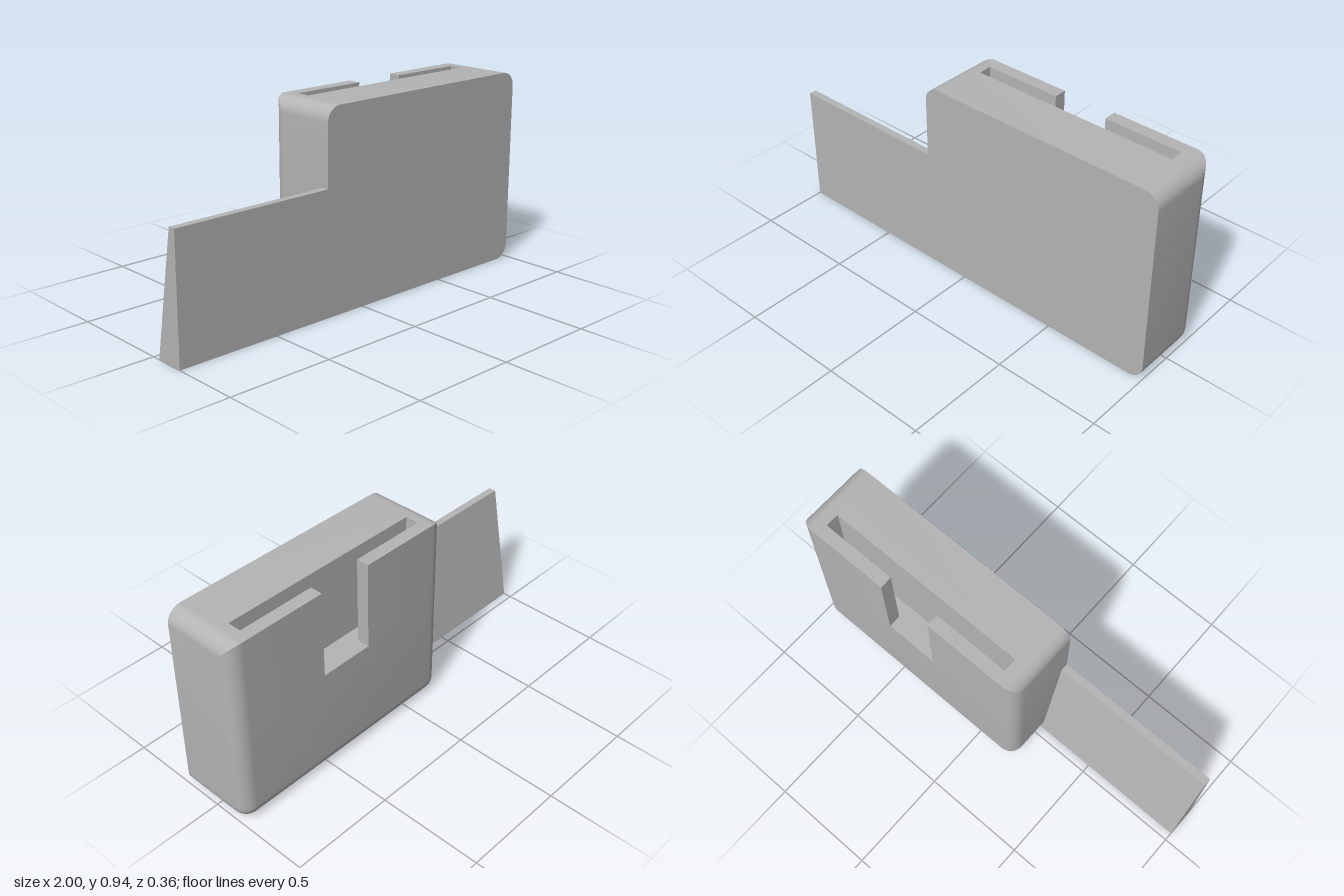
import * as THREE from 'three';
import { toCreasedNormals } from 'three/addons/utils/BufferGeometryUtils.js';

const CX = 0.395, W = 0.605, H = 0.94;   // body centre, half width, height
const FRONT = 0.18, BACK = -0.18, R = 0.07, STEPS = 10;
const SLOT_FLOOR = 0.52;

// T-shaped slot outline (x, z), open through the back wall
const slot = [
  [0.52, BACK], [0.52, -0.12], [0.89, -0.12], [0.89, -0.055],
  [-0.11, -0.055], [-0.11, -0.12], [0.26, -0.12], [0.26, BACK],
].map(([x, z]) => new THREE.Vector2(x, z));

// Horizontal section: inset rounds the bottom, clip rounds the top corners
function section(inset, clip, withSlot) {
  const r = R - inset, pts = [];
  const add = (x, z) => pts.push(new THREE.Vector2(CX + THREE.MathUtils.clamp(x, clip - W, W - clip), z));
  add(W - inset, FRONT);
  for (let i = 0; i <= STEPS; i++) {
    const a = (i / STEPS) * Math.PI / 2;
    add(W - R + r * Math.cos(a), BACK + R - r * Math.sin(a));
  }
  if (withSlot) pts.push(...slot);
  for (let i = STEPS; i >= 0; i--) {
    const a = (i / STEPS) * Math.PI / 2;
    add(-W + R - r * Math.cos(a), BACK + R - r * Math.sin(a));
  }
  add(-W + inset, FRONT);
  return pts;
}

function bodyGeometry() {
  const pos = [];
  const put = (p, y) => pos.push(p.x, y, p.y);

  const loft = rings => {
    for (let k = 0; k + 1 < rings.length; k++) {
      const lo = rings[k], hi = rings[k + 1], n = lo.pts.length;
      for (let i = 0; i < n; i++) {
        const j = (i + 1) % n;
        put(lo.pts[i], lo.y); put(lo.pts[j], lo.y); put(hi.pts[j], hi.y);
        put(lo.pts[i], lo.y); put(hi.pts[j], hi.y); put(hi.pts[i], hi.y);
      }
    }
  };

  const cap = (pts, y, up) => {
    for (const [a, b, c] of THREE.ShapeUtils.triangulateShape(pts.slice(), [])) {
      const A = pts[a], B = pts[b], C = pts[c];
      const ny = (B.y - A.y) * (C.x - A.x) - (B.x - A.x) * (C.y - A.y);
      const tri = (ny > 0) === up ? [A, B, C] : [A, C, B];
      tri.forEach(p => put(p, y));
    }
  };

  // Solid lower half with rounded bottom
  const lower = [], upper = [];
  for (let i = 0; i <= STEPS; i++) {
    const a = (i / STEPS) * Math.PI / 2;
    lower.push({ y: R * (1 - Math.cos(a)), pts: section(R * (1 - Math.sin(a)), 0, false) });
  }
  lower.push({ y: SLOT_FLOOR, pts: section(0, 0, false) });

  // Slotted upper half with rounded top corners
  upper.push({ y: SLOT_FLOOR, pts: section(0, 0, true) });
  for (let i = 0; i <= STEPS; i++) {
    const a = (i / STEPS) * Math.PI / 2;
    upper.push({ y: H - R + R * Math.sin(a), pts: section(0, R * (1 - Math.cos(a)), true) });
  }

  loft(lower);
  loft(upper);
  cap(lower[0].pts, 0, false);
  cap(slot, SLOT_FLOOR, true);
  cap(upper[upper.length - 1].pts, H, true);

  const g = new THREE.BufferGeometry();
  g.setAttribute('position', new THREE.Float32BufferAttribute(pos, 3));
  return toCreasedNormals(g, 0.5);
}

// Tapered side plate: profile in (z, y), extruded along x into the body
function plateGeometry() {
  const profile = new THREE.Shape([
    [-FRONT, 0], [-0.04, 0], [-0.145, 0.585], [-FRONT, 0.585],
  ].map(([x, y]) => new THREE.Vector2(x, y)));
  const g = new THREE.ExtrudeGeometry(profile, { depth: 0.86, bevelEnabled: false });
  g.rotateY(Math.PI / 2);
  g.translate(-1, 0, 0);
  return g;
}

export function createModel() {
  const grey = new THREE.MeshStandardMaterial({ color: 0xb4b4b4 });
  grey.name = 'grey';

  const model = new THREE.Group();
  model.name = 'slottedHolder';
  const body = new THREE.Mesh(bodyGeometry(), grey);
  body.name = 'slottedBody';
  const plate = new THREE.Mesh(plateGeometry(), grey);
  plate.name = 'taperedPlate';
  model.add(body, plate);
  return model;
}
